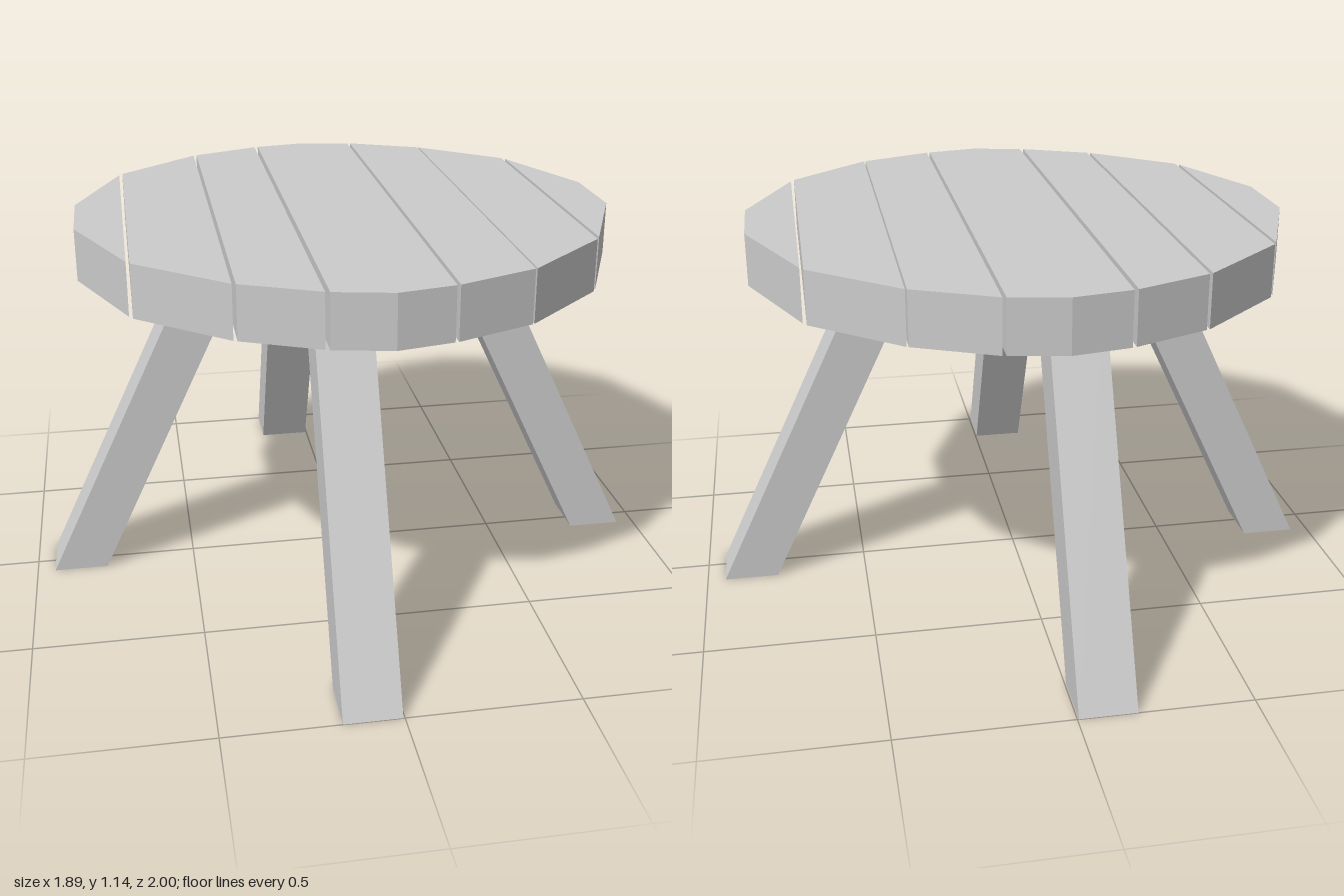
import * as THREE from 'three';

const material = new THREE.MeshStandardMaterial({ color: 0xcccccc, flatShading: true });

// Faceted outline of the round top: [x, back z, front z]
const OUTLINE = [
  [-0.80, -0.14, 0.12], [-0.655, -0.50, 0.465], [-0.40, -0.725, 0.68],
  [-0.17, -0.82, 0.785], [0, -0.85, 0.82], [0.17, -0.82, 0.785],
  [0.40, -0.715, 0.69], [0.65, -0.505, 0.46], [0.80, -0.145, 0.11],
];

// Left and right edge of every plank
const PLANKS = [
  [-0.80, -0.66], [-0.65, -0.40], [-0.39, -0.177], [-0.165, 0.16],
  [0.17, 0.395], [0.40, 0.645], [0.655, 0.80],
];

const TOP_BOTTOM = 0.99, TOP_THICKNESS = 0.155;
const LEG_WIDTH = 0.165, LEG_HEIGHT = 1.07;

function outlineAt(x) {
  let i = 1;
  while (i < OUTLINE.length - 1 && OUTLINE[i][0] < x) i++;
  const a = OUTLINE[i - 1], b = OUTLINE[i];
  const t = (x - a[0]) / (b[0] - a[0]);
  return [x, a[1] + (b[1] - a[1]) * t, a[2] + (b[2] - a[2]) * t];
}

function extrude(points, depth) {
  const shape = new THREE.Shape(points.map(([x, y]) => new THREE.Vector2(x, y)));
  return new THREE.ExtrudeGeometry(shape, { depth, bevelEnabled: false });
}

// One plank: the slice of the outline between two x positions
function createPlank(x0, x1) {
  const inner = OUTLINE.filter(([x]) => x > x0 + 0.02 && x < x1 - 0.02);
  const cuts = [outlineAt(x0), ...inner, outlineAt(x1)];
  const front = cuts.map(([x, , z]) => [x, -z]);
  const back = cuts.map(([x, z]) => [x, -z]).reverse();
  const geometry = extrude([...front, ...back], TOP_THICKNESS);
  geometry.rotateX(-Math.PI / 2).translate(0, TOP_BOTTOM, 0);
  return new THREE.Mesh(geometry, material);
}

// Slanted leg leaning out along +x, with level ends
function createLeg(footOuter, topOuter) {
  const geometry = extrude([
    [footOuter - LEG_WIDTH, 0], [footOuter, 0],
    [topOuter, LEG_HEIGHT], [topOuter - LEG_WIDTH, LEG_HEIGHT],
  ], LEG_WIDTH);
  geometry.translate(0, 0, -LEG_WIDTH / 2);
  return new THREE.Mesh(geometry, material);
}

export function createModel() {
  const model = new THREE.Group();
  model.name = 'stool';

  const top = new THREE.Group();
  top.name = 'plankTop';
  PLANKS.forEach(([x0, x1], i) => {
    const plank = createPlank(x0, x1);
    plank.name = `plank${i + 1}`;
    top.add(plank);
  });
  model.add(top);

  // Side legs sit slightly back, front and back legs slightly to the right
  const legs = [
    ['leftLeg', 0, 0.945, 0.435, 0, -0.018],
    ['rightLeg', Math.PI, 0.945, 0.435, 0, -0.018],
    ['frontLeg', -Math.PI / 2, 1, 0.485, -0.087, 0],
    ['backLeg', Math.PI / 2, 1, 0.485, -0.087, 0],
  ];
  for (const [name, turn, foot, head, x, z] of legs) {
    const leg = createLeg(foot, head);
    leg.name = name;
    leg.rotation.y = turn;
    leg.position.set(x, 0, z);
    model.add(leg);
  }
  return model;
}
